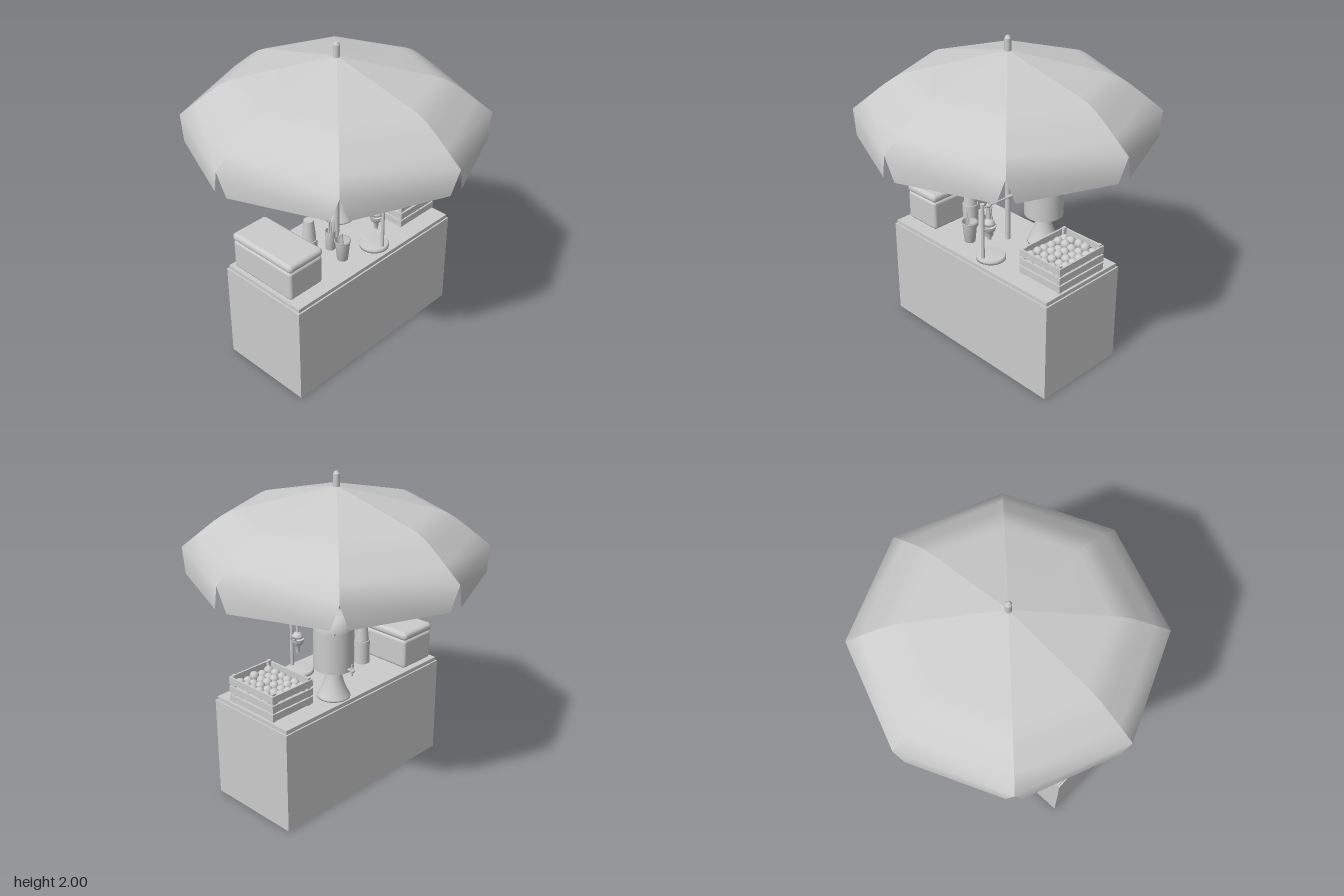
import * as THREE from 'three';
import { RoundedBoxGeometry } from 'three/addons/geometries/RoundedBoxGeometry.js';

const grey = new THREE.MeshStandardMaterial({ color: 0xcccccc });
const thin = new THREE.MeshStandardMaterial({ color: 0xcccccc, side: THREE.DoubleSide });

const TOP = 0.675; // height of the counter top

function add(parent, name, geometry, x = 0, y = 0, z = 0, material = grey) {
  const mesh = new THREE.Mesh(geometry, material);
  mesh.name = name;
  mesh.position.set(x, y, z);
  parent.add(mesh);
  return mesh;
}

function group(parent, name, x = 0, y = 0, z = 0) {
  const g = new THREE.Group();
  g.name = name;
  g.position.set(x, y, z);
  parent.add(g);
  return g;
}

const box = (w, h, d) => new THREE.BoxGeometry(w, h, d);
const cyl = (rTop, rBottom, h, n = 24) => new THREE.CylinderGeometry(rTop, rBottom, h, n);
const lathe = (points, n = 40) =>
  new THREE.LatheGeometry(points.map(([r, y]) => new THREE.Vector2(r, y)), n);

// Straight rod between two points
function rod(parent, name, a, b, r0, r1 = r0) {
  const p = new THREE.Vector3(...a), q = new THREE.Vector3(...b);
  const mesh = add(parent, name, cyl(r1, r0, p.distanceTo(q), 14));
  mesh.position.copy(p).add(q).multiplyScalar(0.5);
  mesh.quaternion.setFromUnitVectors(new THREE.Vector3(0, 1, 0), q.sub(p).normalize());
  return mesh;
}

// One canopy panel with its hanging flap; rows are [corner radius, height, inset fraction]
function panelGeometry(a0, a1) {
  const rows = [[0, 1.915, 0], [0.3, 1.844, 0], [0.55, 1.785, 0], [0.61, 1.768, 0], [0.665, 1.74, 0],
    [0.72, 1.702, 0], [0.81, 1.63, 0], [0.91, 1.55, 0], [0.91, 1.4, 0.075]];
  const positions = [], index = [];
  rows.forEach(([r, y, inset], i) => {
    const p = [Math.sin(a0) * r, Math.cos(a0) * r], q = [Math.sin(a1) * r, Math.cos(a1) * r];
    for (const t of [inset, 1 - inset])
      positions.push(p[0] + (q[0] - p[0]) * t, y, p[1] + (q[1] - p[1]) * t);
    if (i > 0) {
      const k = i * 2;
      index.push(k - 2, k, k + 1, k - 2, k + 1, k - 1);
    }
  });
  const g = new THREE.BufferGeometry();
  g.setAttribute('position', new THREE.Float32BufferAttribute(positions, 3));
  g.setIndex(index);
  g.computeVertexNormals();
  return g;
}

function buildUmbrella(root) {
  const umbrella = group(root, 'umbrella');
  for (let i = 0; i < 8; i++)
    add(umbrella, 'canopyPanel', panelGeometry(i * Math.PI / 4, (i + 1) * Math.PI / 4), 0, 0, 0, thin);
  add(umbrella, 'pole', cyl(0.018, 0.018, 1.25), 0, 1.29, 0);
  add(umbrella, 'finial', cyl(0.02, 0.02, 0.075), 0, 1.947, 0);
  add(umbrella, 'finialTip', cyl(0.009, 0.02, 0.016), 0, 1.992, 0);
}

function buildCooler(root) {
  const cooler = group(root, 'coolBox', -0.52, TOP, 0.02);
  add(cooler, 'coolBoxBody', new RoundedBoxGeometry(0.262, 0.195, 0.49, 4, 0.02), 0, 0.0975, 0);
  add(cooler, 'coolBoxLid', new RoundedBoxGeometry(0.27, 0.055, 0.5, 4, 0.025), 0, 0.218, 0);
}

function buildCups(root) {
  const stack = group(root, 'cupStack', -0.29, TOP, 0.05);
  add(stack, 'cupSleeve', cyl(0.05, 0.05, 0.155), 0, 0.0775, 0);
  add(stack, 'stackedCups', cyl(0.031, 0.044, 0.135), 0, 0.2225, 0);

  // Open tumbler with a stirrer
  const cup = group(root, 'tumbler', -0.143, TOP, 0.19);
  add(cup, 'tumblerWall', lathe([[0, 0], [0.034, 0], [0.047, 0.13], [0.051, 0.13], [0.051, 0.138],
    [0.045, 0.138], [0.032, 0.008], [0, 0.008]]), 0, 0, 0, thin);
  rod(cup, 'stirrer', [0.01, 0.01, 0], [-0.016, 0.2, 0.01], 0.004);

  // Narrow holder with straws
  const holder = group(root, 'strawHolder', -0.115, TOP, 0.06);
  add(holder, 'holderWall', lathe([[0, 0], [0.032, 0], [0.032, 0.13], [0.028, 0.13], [0.028, 0.01], [0, 0.01]]),
    0, 0, 0, thin);
  for (let i = 0; i < 5; i++) {
    const a = i * Math.PI * 0.4;
    rod(holder, 'straw', [Math.cos(a) * 0.01, 0.01, Math.sin(a) * 0.01],
      [0.01 + Math.cos(a) * 0.014, 0.2, Math.sin(a) * 0.018], 0.005);
  }
}

function buildPress(root) {
  const press = group(root, 'juicePress', 0.095, 0, 0.235);
  add(press, 'pressBase', lathe([[0, TOP], [0.092, TOP], [0.092, 0.69], [0.084, 0.7], [0, 0.7]]));
  add(press, 'pressColumn', cyl(0.011, 0.011, 0.37), 0, 0.88, 0.066);
  add(press, 'columnCap', cyl(0.014, 0.014, 0.016), 0, 1.06, 0.066);
  rod(press, 'pressArm', [0, 1.04, 0.066], [0, 1.035, -0.14], 0.006);
  rod(press, 'armGrip', [0, 1.036, -0.13], [0, 1.036, -0.215], 0.012);
  // Plunger over the squeezing bowl
  rod(press, 'plungerRod', [0, 0.93, 0.012], [0, 1.105, 0.018], 0.009, 0.006);
  add(press, 'plungerJoint', new THREE.SphereGeometry(0.016, 16, 12), 0, 1.04, 0.014);
  add(press, 'plungerCone', lathe([[0, 0.91], [0.036, 0.91], [0.034, 0.925], [0.02, 0.943], [0, 0.95]]), 0, 0, 0.012);
  add(press, 'bowl', lathe([[0.012, 0.81], [0.016, 0.85], [0.035, 0.872], [0.044, 0.9], [0.038, 0.9],
    [0.03, 0.88], [0, 0.87]]), 0, 0, 0.012, thin);
  rod(press, 'bowlBracket', [0, 0.885, 0.066], [0, 0.885, 0.03], 0.009);
}

function buildUrn(root) {
  const urn = group(root, 'drinkUrn', 0.172, 0, -0.143);
  add(urn, 'urnFoot', lathe([[0, TOP], [0.102, TOP], [0.1, 0.685], [0.08, 0.72], [0.062, 0.77],
    [0.05, 0.82], [0.043, 0.875], [0, 0.875]]));
  add(urn, 'urnBody', cyl(0.122, 0.122, 0.262, 48), 0, 1.001, 0);
  add(urn, 'urnDome', lathe([[0.124, 1.125], [0.124, 1.14], [0.118, 1.165], [0.104, 1.192],
    [0.08, 1.212], [0.045, 1.222], [0, 1.224]], 48));
  for (let i = 0; i < 4; i++) {
    const a = (i + 0.5) * Math.PI / 2;
    add(urn, 'lidClip', box(0.014, 0.014, 0.014), Math.cos(a) * 0.122, 1.132, Math.sin(a) * 0.122);
  }
  // Tap at the back
  rod(urn, 'tapPipe', [0, 0.89, -0.115], [0, 0.89, -0.158], 0.008);
  rod(urn, 'tapSpout', [0, 0.857, -0.15], [0, 0.908, -0.15], 0.006, 0.011);
  add(urn, 'tapKnob', new THREE.SphereGeometry(0.013, 14, 10), 0, 0.893, -0.158);
  rod(urn, 'tapHandle', [0, 0.9, -0.15], [0, 0.93, -0.15], 0.005);
}

function buildCrate(root) {
  const w = 0.32, d = 0.38, t = 0.012;
  const crate = group(root, 'fruitCrate', 0.505, TOP, 0.05);
  add(crate, 'crateFloor', box(w - 0.02, 0.01, d - 0.02), 0, 0.015, 0);
  for (const s of [-1, 1]) {
    for (const y of [0.033, 0.088, 0.147]) {
      add(crate, 'endSlat', box(w, 0.044, t), 0, y, s * (d - t) / 2);
      add(crate, 'sideSlat', box(t, 0.044, d), s * (w - t) / 2, y, 0);
    }
    for (const q of [-1, 1])
      add(crate, 'cornerPost', box(0.022, 0.18, 0.022), s * (w / 2 - 0.02), 0.09, q * (d / 2 - 0.02));
  }
  // Fruit packed in layers with a little seeded scatter
  let seed = 7;
  const jitter = (a) => ((seed = (seed * 16807) % 2147483647) / 2147483647 - 0.5) * a;
  const ball = new THREE.SphereGeometry(0.029, 14, 10);
  for (let k = 0; k < 3; k++)
    for (let i = 0; i < 5; i++)
      for (let j = 0; j < 6; j++)
        add(crate, 'fruit', ball, (i - 2) * 0.056 + jitter(0.008), 0.04 + k * 0.043 + jitter(0.014),
          (j - 2.5) * 0.058 + jitter(0.008));
}

export function createModel() {
  const root = new THREE.Group();
  root.name = 'drinkStand';
  // Counter with a slightly inset top
  add(root, 'counter', box(1.36, 0.65, 0.625), 0, 0.325, 0.048);
  add(root, 'counterTop', box(1.34, 0.025, 0.605), 0, 0.6625, 0.048);
  buildUmbrella(root);
  buildCooler(root);
  buildCups(root);
  buildPress(root);
  buildUrn(root);
  buildCrate(root);
  return root;
}
